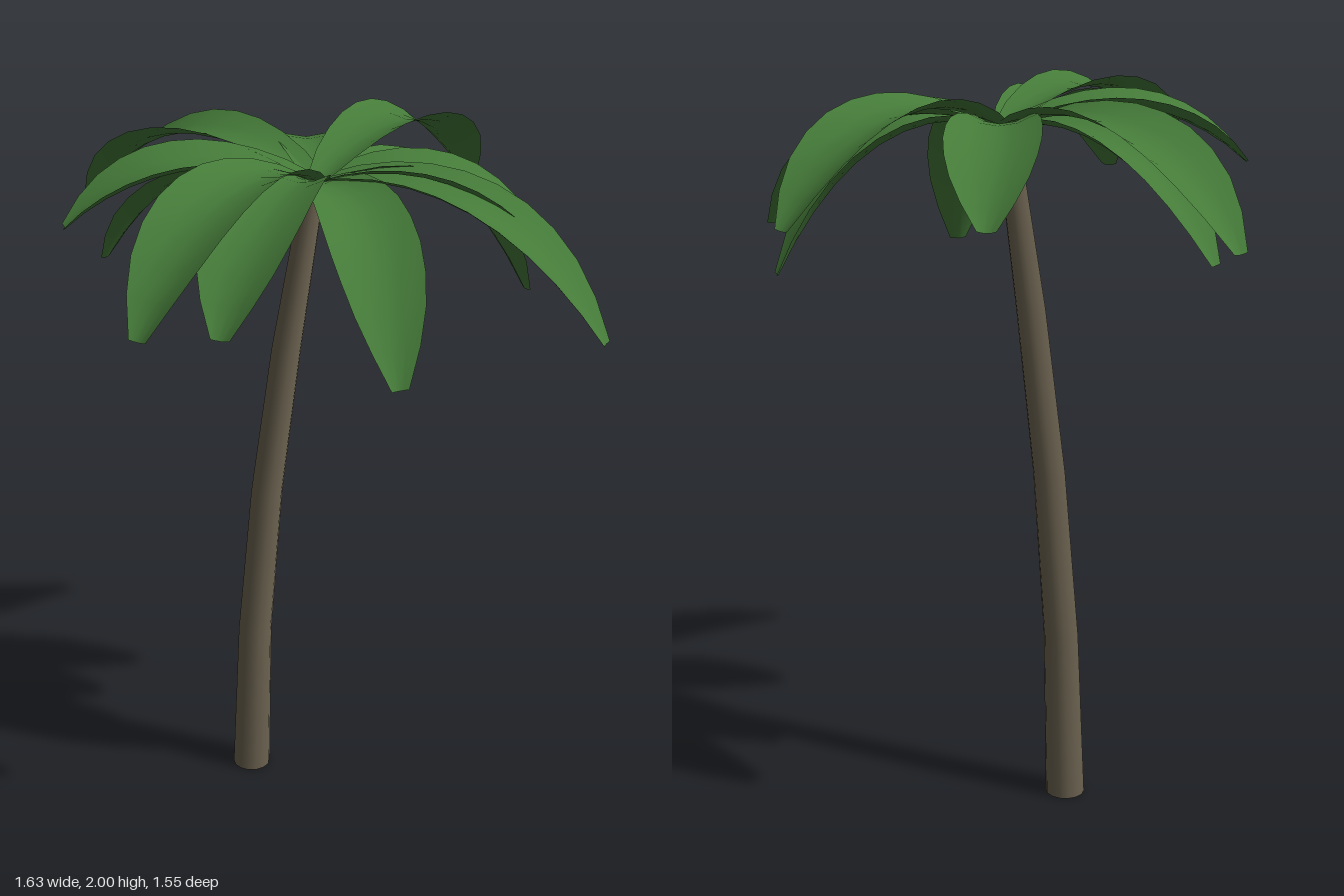
import * as THREE from 'three';

const barkBrown = new THREE.MeshStandardMaterial({ color: 0x6b6250 });
const leafGreen = new THREE.MeshStandardMaterial({ color: 0x457b39, side: THREE.DoubleSide });

// Linear lookup in rows of [key, value, ...]
function lookup(rows, key, column) {
  let i = 1;
  while (i < rows.length - 1 && rows[i][0] < key) i++;
  const a = rows[i - 1], b = rows[i];
  return THREE.MathUtils.mapLinear(key, a[0], b[0], a[column], b[column]);
}

// Leaning trunk: height, centre x, radius
const TRUNK = [
  [0, -0.193, 0.055], [0.48, -0.173, 0.048], [0.95, -0.125, 0.044],
  [1.4, -0.055, 0.04], [1.88, 0.035, 0.03],
];

function makeTrunk() {
  const geometry = new THREE.CylinderGeometry(1, 1, 1, 14, 4);
  const p = geometry.attributes.position;
  for (let i = 0; i < p.count; i++) {
    const level = Math.round((p.getY(i) + 0.5) * 4);
    const [y, x, r] = TRUNK[level];
    p.setXYZ(i, x + p.getX(i) * r, y, 0.008 + p.getZ(i) * r);
  }
  const mesh = new THREE.Mesh(geometry, barkBrown);
  mesh.name = 'trunk';
  return mesh;
}

// Half width of a frond along its length
const WIDTH = [
  [0, 0.03], [0.1, 0.062], [0.25, 0.095], [0.45, 0.12],
  [0.62, 0.122], [0.76, 0.108], [0.88, 0.075], [1, 0.024],
];

// Arching, upward-cupped frond from the crown to its tip
function makeFrond(x, y, z, archHeight) {
  const base = new THREE.Vector3(0.04, 1.88, 0.0);
  const tip = new THREE.Vector3(x, y, z);
  const control = base.clone().lerp(tip, 0.6).setY(archHeight);
  const spine = new THREE.QuadraticBezierCurve3(base, control, tip);
  const side = new THREE.Vector3(-(z - base.z), 0, x - base.x).normalize();

  const geometry = new THREE.PlaneGeometry(2, 1, 4, 10);
  const p = geometry.attributes.position;
  for (let i = 0; i < p.count; i++) {
    const t = p.getY(i) + 0.5, s = p.getX(i);
    const w = lookup(WIDTH, t, 1);
    const up = new THREE.Vector3().crossVectors(side, spine.getTangent(t));
    const point = spine.getPoint(t)
      .addScaledVector(side, s * w)
      .addScaledVector(up, s * s * w * 0.32);
    p.setXYZ(i, point.x, point.y, point.z);
  }
  geometry.computeVertexNormals();
  return new THREE.Mesh(geometry, leafGreen);
}

// Tip x, y, z and the height of the arch control
const FRONDS = [
  [-0.81, 1.67, -0.085, 2.07], [0.8, 1.55, -0.17, 2.0],
  [0.04, 1.71, -0.77, 2.1], [0.075, 1.7, 0.77, 2.11],
  [0.21, 1.69, 0.635, 2.04], [0.46, 1.49, 0.25, 1.98],
  [0.385, 1.51, -0.505, 2.0], [0.555, 1.68, -0.315, 2.0],
  [-0.365, 1.72, -0.485, 2.0], [-0.425, 1.79, 0.455, 2.03],
  [-0.59, 1.58, 0.11, 1.98],
];

export function createModel() {
  const palm = new THREE.Group();
  palm.name = 'palmTree';
  palm.add(makeTrunk());
  const crown = new THREE.Group();
  crown.name = 'crown';
  FRONDS.forEach((frond, i) => {
    const mesh = makeFrond(...frond);
    mesh.name = `frond${i + 1}`;
    crown.add(mesh);
  });
  palm.add(crown);
  return palm;
}
